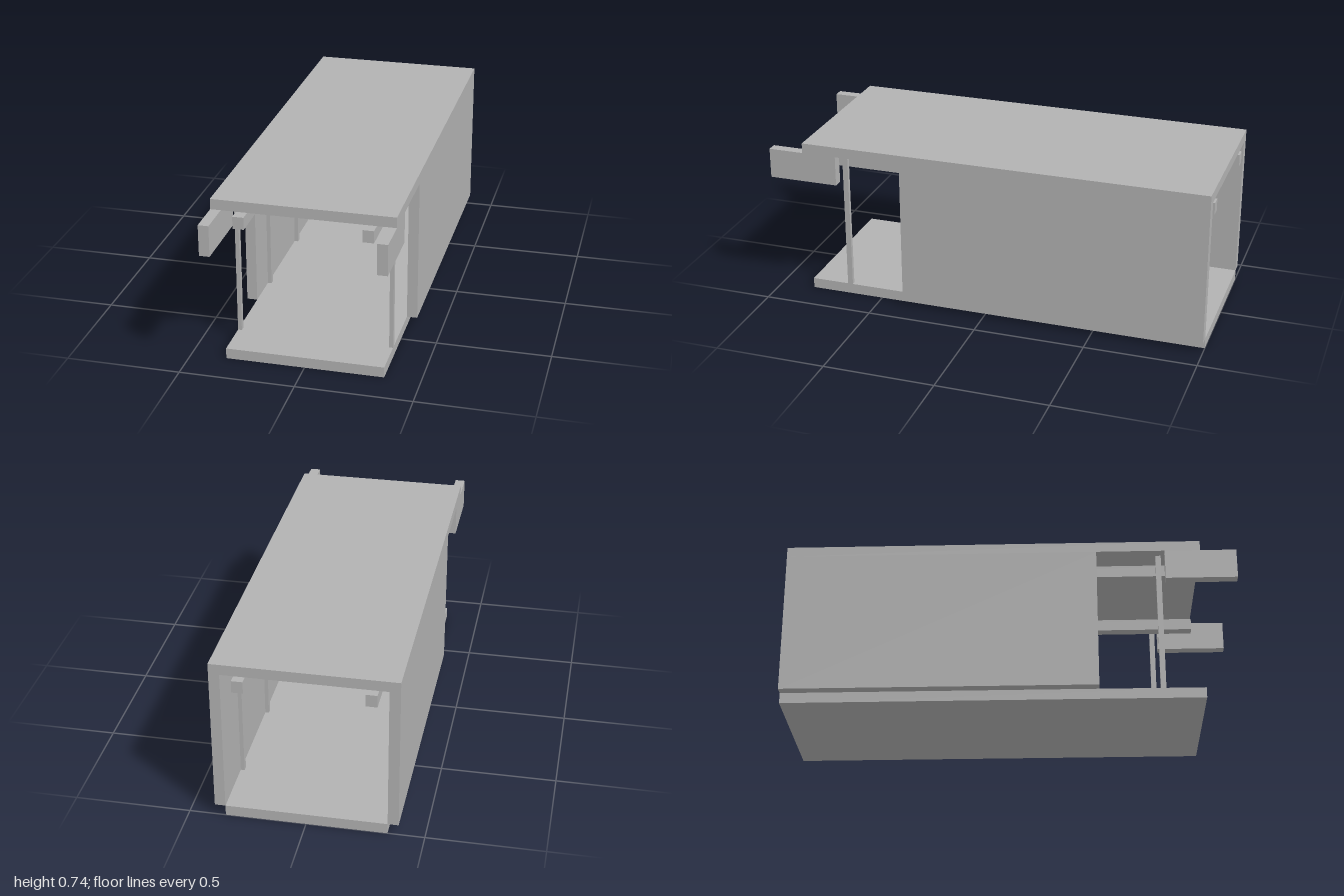
import * as THREE from 'three';

export function createModel() {
  const group = new THREE.Group();
  const grey = new THREE.MeshStandardMaterial({ color: 0xb2b2b2 });
  grey.name = 'plain grey';

  // Box given by its lower and upper limits on each axis
  function block(name, [x0, x1], [y0, y1], [z0, z1]) {
    const mesh = new THREE.Mesh(new THREE.BoxGeometry(x1 - x0, y1 - y0, z1 - z0), grey);
    mesh.position.set((x0 + x1) / 2, (y0 + y1) / 2, (z0 + z1) / 2);
    mesh.name = name;
    group.add(mesh);
  }

  // The same box on both sides
  function pair(name, [x0, x1], y, z) {
    block(name + 'Left', [x0, x1], y, z);
    block(name + 'Right', [-x1, -x0], y, z);
  }

  const floorTop = 0.047, ceiling = 0.691;
  const back = -1, front = 0.84;

  // Floor and roof slabs
  block('floor', [-0.344, 0.344], [0, floorTop], [back, front]);
  block('roof', [-0.39, 0.39], [ceiling, 0.737], [back, front]);

  // Side walls stop short of the front, leaving an open porch
  pair('wall', [0.344, 0.39], [floorTop, ceiling], [back, 0.38]);

  // Brackets reaching out past the roof edge
  pair('frontBracket', [0.345, 0.39], [0.555, ceiling], [0.683, 1]);

  // Long beams under the roof
  pair('beam', [0.249, 0.297], [0.613, 0.667], [back, front]);

  // Thin posts along the inside of the walls
  for (let i = 0; i < 4; i++) {
    const z = 0.656 - i * 0.46;
    pair('post' + (i + 1), [0.327, 0.344], [floorTop, ceiling], [z - 0.012, z + 0.012]);
  }

  // Flat panel just below the ceiling
  block('ceilingPanel', [-0.074, 0.074], [0.679, 0.688], [-0.16, 0.0]);

  return group;
}
